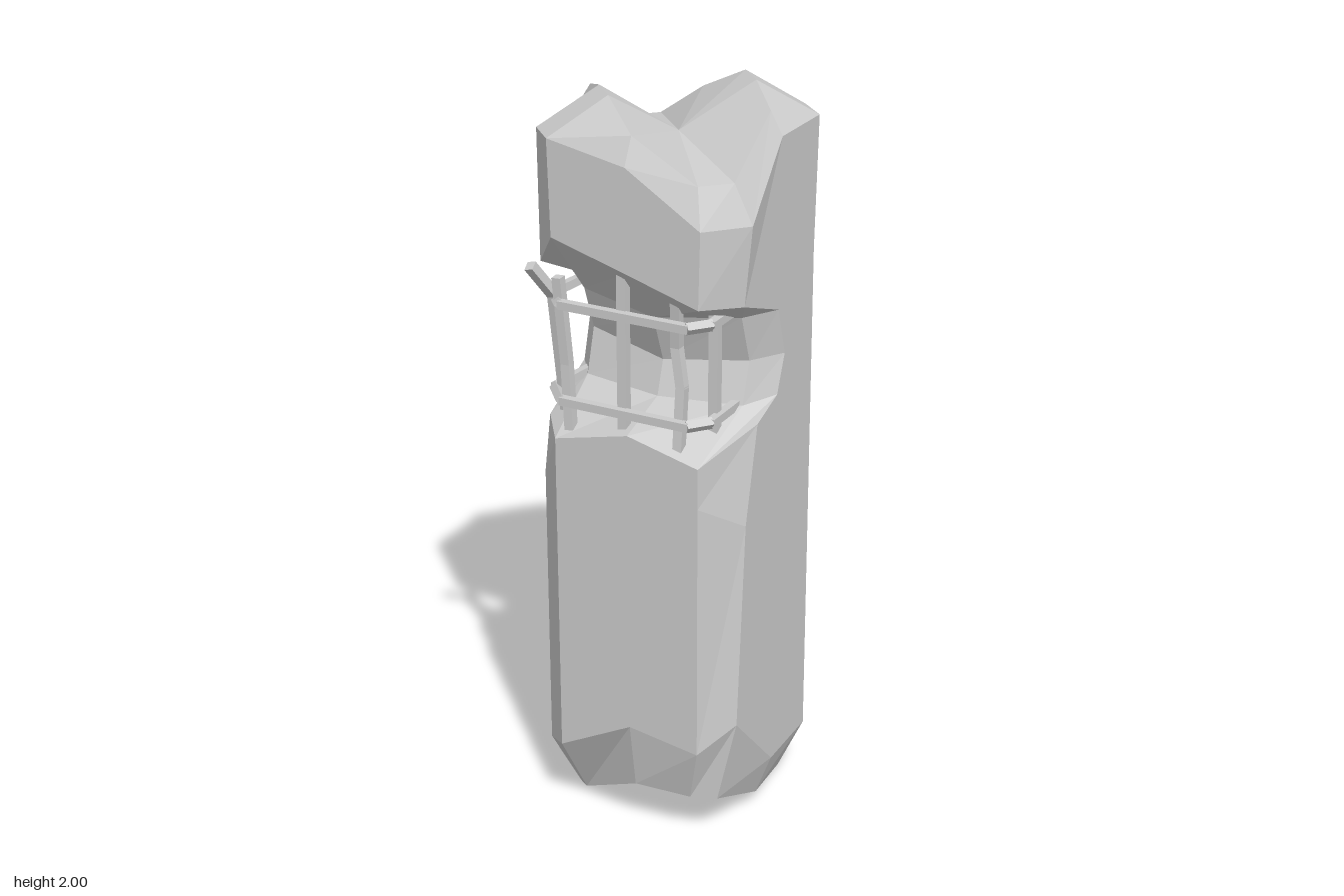
import * as THREE from 'three';

const material = new THREE.MeshStandardMaterial({ color: 0xcccccc, flatShading: true });

// Twelve-sided plans [x, z]: front (3), right (3), back (3), left (3)
const shaft = [[-0.21, 0.29], [0, 0.29], [0.2, 0.29], [0.275, 0.21], [0.275, 0], [0.275, -0.2],
  [0.2, -0.28], [0, -0.28], [-0.2, -0.28], [-0.29, -0.2], [-0.29, 0], [-0.29, 0.21]];
const shoulder = [[-0.22, 0.285], [0, 0.29], [0.205, 0.29], [0.295, 0.19], [0.278, 0], [0.278, -0.21],
  [0.205, -0.28], [0, -0.3], [-0.185, -0.315], [-0.29, -0.21], [-0.3, 0.03], [-0.29, 0.215]];
const rim = [[-0.1, 0.19], [0, 0.255], [0.18, 0.255], [0.245, 0.19], [0.245, 0], [0.155, -0.1],
  [0.09, -0.17], [-0.05, -0.21], [-0.195, -0.25], [-0.26, -0.18], [-0.26, 0], [-0.165, 0.12]];
const foot = [[-0.2, 0.18], [0, 0.26], [0.16, 0.25], [0.22, 0.21], [0.23, 0], [0.2, -0.2],
  [0.16, -0.22], [0, -0.25], [-0.17, -0.22], [-0.24, -0.17], [-0.25, 0], [-0.23, 0.16]];

// Cut the front of the plan back to make the opening
const notch = (front, side) => shaft.map(([x, z], i) => {
  if (i < 3) return [x * 1.1, i === 1 ? front : (front + side) / 2 + 0.02];
  if (i === 3 || i === 11) return [x, side];
  if (i === 4 || i === 10) return [x, Math.min(z, side - 0.07)];
  return [x, z];
});
const lip = (rightZ, leftZ) => shaft.map(([x, z], i) => [x, i === 3 ? rightZ : i === 11 ? leftZ : z]);
const ring = (plan, ys) => plan.map(([x, z], i) => [x, ys[i], z]);

function createStone() {
  const rings = [
    ring(foot, [0.02, 0.13, 0.13, 0.12, 0.03, 0, 0, 0.05, 0.03, 0.1, 0.05, 0.02]),
    ring(shaft, [0.21, 0.32, 0.29, 0.36, 0.15, 0.16, 0.32, 0.28, 0.25, 0.26, 0.2, 0.17]),
    ring(lip(0.17, 0.21), [0.97, 0.98, 1.0, 0.92, 0.95, 0.95, 0.8, 0.8, 0.75, 0.9, 0.95, 0.97]),
    ring(lip(0.11, 0.18), [1.11, 1.16, 1.11, 1.18, 1.13, 1.12, 1.1, 1.1, 1.1, 1.1, 1.1, 1.12]),
    ring(notch(0.13, 0), [1.21, 1.21, 1.21, 1.22, 1.22, 1.22, 1.22, 1.22, 1.22, 1.22, 1.22, 1.21]),
    ring(notch(0.1, -0.04), [1.33, 1.3, 1.32, 1.32, 1.32, 1.35, 1.37, 1.35, 1.35, 1.33, 1.33, 1.35]),
    ring(notch(0.15, 0), [1.45, 1.43, 1.45, 1.45, 1.45, 1.45, 1.45, 1.45, 1.45, 1.45, 1.45, 1.45]),
    ring(lip(0.19, 0.21), [1.65, 1.59, 1.53, 1.52, 1.53, 1.55, 1.55, 1.55, 1.55, 1.55, 1.55, 1.55]),
    ring(shoulder, [1.9, 1.86, 1.73, 1.73, 1.9, 1.9, 1.9, 1.86, 1.75, 1.74, 1.88, 1.9]),
    ring(rim, [2, 1.93, 1.83, 1.83, 1.96, 2, 2, 1.93, 1.83, 1.83, 1.96, 2]),
  ];
  const n = shaft.length;
  const positions = rings.flat(2);
  const index = [];
  for (let r = 0; r < rings.length - 1; r++) {
    for (let i = 0; i < n; i++) {
      const a = r * n + i, b = r * n + (i + 1) % n;
      index.push(a, b, b + n, a, b + n, a + n);
    }
  }
  // Hollowed top and bottom fans
  const bottom = rings.length * n, top = bottom + 1, last = bottom - n;
  positions.push(0, 0.04, 0, 0, 1.88, 0.015);
  for (let i = 0; i < n; i++) {
    const j = (i + 1) % n;
    index.push(j, i, bottom, last + i, last + j, top);
  }
  const geometry = new THREE.BufferGeometry();
  geometry.setAttribute('position', new THREE.Float32BufferAttribute(positions, 3));
  geometry.setIndex(index);
  const flat = geometry.toNonIndexed();
  flat.computeVertexNormals();
  const mesh = new THREE.Mesh(flat, material);
  mesh.name = 'stonePillar';
  return mesh;
}

// Square bar following a list of points
function createBar(name, points, size = 0.025) {
  const bar = new THREE.Group();
  bar.name = name;
  const up = new THREE.Vector3(0, 1, 0);
  const v = points.map((p) => new THREE.Vector3(...p));
  for (let i = 0; i < v.length - 1; i++) {
    const d = v[i + 1].clone().sub(v[i]);
    const length = d.length();
    const mesh = new THREE.Mesh(new THREE.BoxGeometry(size, length + size * 0.3, size), material);
    mesh.position.copy(v[i]).addScaledVector(d, 0.5);
    mesh.quaternion.setFromUnitVectors(up, d.normalize());
    mesh.name = name + 'Segment';
    bar.add(mesh);
  }
  return bar;
}

export function createModel() {
  const model = new THREE.Group();
  model.name = 'lanternPillar';
  model.add(createStone());

  const cage = new THREE.Group();
  cage.name = 'cage';
  // Horizontal bars wrapping round the opening
  for (const y of [1.21, 1.47]) {
    cage.add(createBar('crossBar', [[-0.24, y, 0.02], [-0.26, y, 0.2], [-0.2, y, 0.27],
      [0.16, y, 0.27], [0.2, y, 0.22], [0.2, y, 0.02]], 0.022));
  }
  // Crooked upright bars
  const uprights = [
    [[-0.24, 1.15, 0.18], [-0.235, 1.48, 0.24], [-0.26, 1.57, 0.305]],
    [[-0.185, 1.11, 0.25], [-0.2, 1.3, 0.24], [-0.215, 1.53, 0.25]],
    [[-0.03, 1.12, 0.25], [-0.03, 1.57, 0.25]],
    [[0.13, 1.11, 0.26], [0.13, 1.3, 0.24], [0.11, 1.4, 0.23], [0.12, 1.54, 0.25]],
    [[0.185, 1.13, 0.17], [0.185, 1.52, 0.17]],
  ];
  for (const points of uprights) cage.add(createBar('uprightBar', points));
  model.add(cage);
  return model;
}
